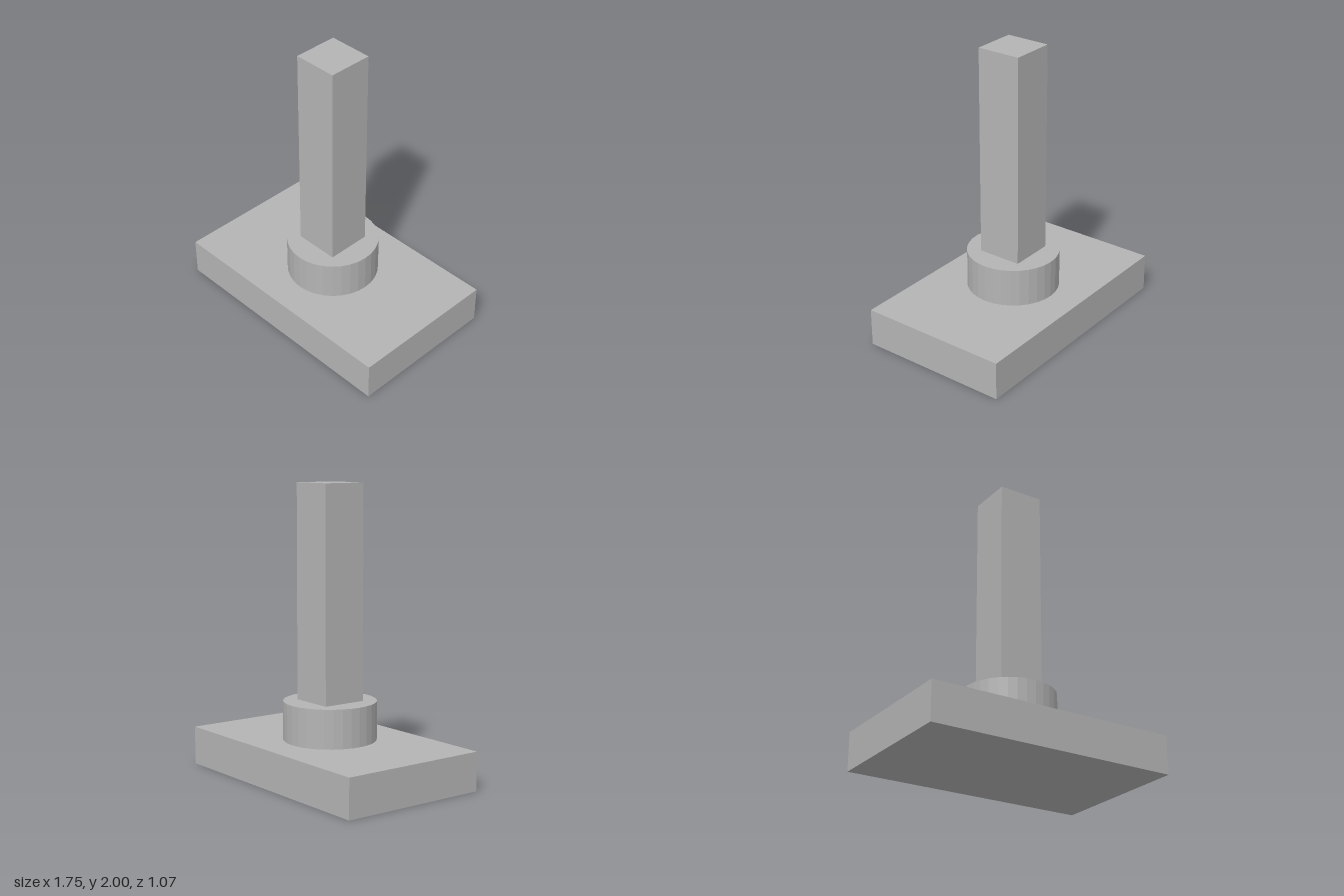
import * as THREE from 'three';

export function createModel() {
  const group = new THREE.Group();
  const grey = new THREE.MeshStandardMaterial({ color: 0xb4b4b4, flatShading: true });
  grey.name = 'plain grey';

  // Adds a named part standing on the given height
  const add = (name, geometry, bottom, height) => {
    const mesh = new THREE.Mesh(geometry, grey);
    mesh.name = name;
    mesh.position.y = bottom + height / 2;
    group.add(mesh);
  };

  const step = 0.267; // thickness of the base and of the collar
  const postHeight = 2 - 2 * step;

  // Rectangular base slab
  add('base', new THREE.BoxGeometry(1.755, step, 1.065), 0, step);
  // Round faceted collar
  add('collar', new THREE.CylinderGeometry(0.319, 0.319, step, 32), step, step);
  // Square upright post
  add('post', new THREE.BoxGeometry(0.315, postHeight, 0.315), 2 * step, postHeight);

  return group;
}
